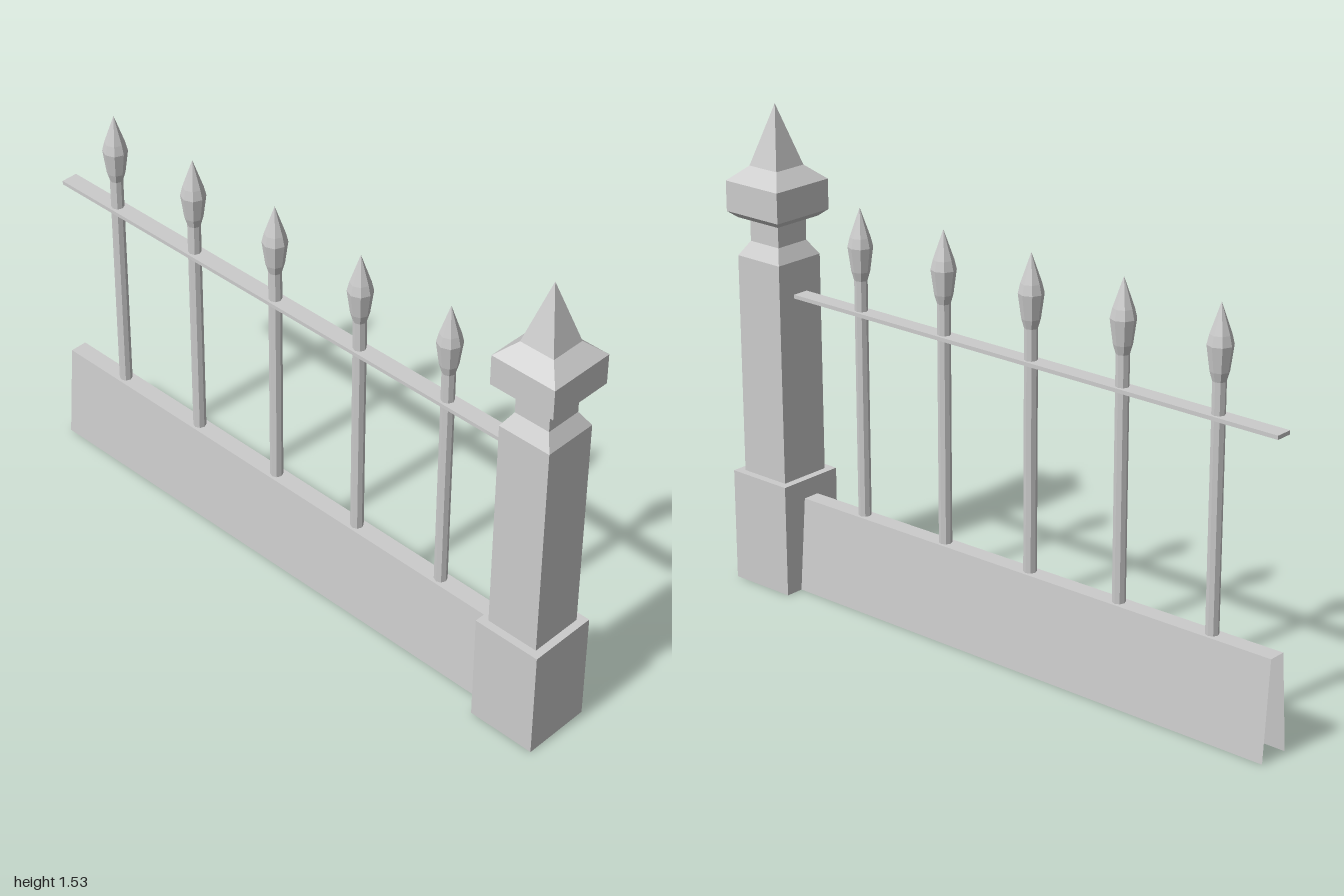
import * as THREE from 'three';

const material = new THREE.MeshStandardMaterial({ color: 0xcccccc, flatShading: true, side: THREE.DoubleSide });

function addMesh(parent, name, geometry) {
  const mesh = new THREE.Mesh(geometry, material);
  mesh.name = name;
  parent.add(mesh);
  return mesh;
}

// Square turned part: profile of [half width, height], bottom to top
function squareLathe(profile) {
  const points = profile.map(([h, y]) => new THREE.Vector2(h * Math.SQRT2, y));
  return new THREE.LatheGeometry(points, 4, Math.PI / 4);
}

function createPost() {
  const post = new THREE.Group();
  post.name = 'gatePost';
  // Hollow plinth, open underneath, with a ledge on top
  addMesh(post, 'postBase', squareLathe([[0.112, 0], [0.112, 0.36], [0.087, 0.36]]));
  // Shaft with chamfered shoulder and neck
  addMesh(post, 'postShaft', squareLathe([[0.087, 0.36], [0.087, 1.06], [0.059, 1.105], [0.059, 1.18]]));
  // Cap with pointed finial
  addMesh(post, 'postCap', squareLathe([
    [0.059, 1.18], [0.085, 1.18], [0.108, 1.2], [0.108, 1.295], [0.057, 1.34], [0, 1.53],
  ]));
  return post;
}

// Battered kerb wall: two leaning sides and a top, open below and at the ends
function createWall() {
  const section = (z, top) => [[-0.053, 0, z], [-0.028, top, z], [0.028, top, z], [0.053, 0, z]];
  const front = section(0.778, 0.3);
  const back = section(-1, 0.31);
  const positions = [];
  for (let i = 0; i < 3; i++) {
    const [a, b, c, d] = [front[i], front[i + 1], back[i + 1], back[i]];
    positions.push(...a, ...b, ...c, ...a, ...c, ...d);
  }
  const geometry = new THREE.BufferGeometry();
  geometry.setAttribute('position', new THREE.Float32BufferAttribute(positions, 3));
  geometry.computeVertexNormals();
  return geometry;
}

function createSpear() {
  const spear = new THREE.Group();
  spear.name = 'spear';
  const rod = addMesh(spear, 'spearRod', new THREE.CylinderGeometry(0.02, 0.02, 0.76, 8, 1, true));
  rod.position.y = 0.68;
  const head = [[0.02, 1.052], [0.028, 1.08], [0.038, 1.155], [0.031, 1.185], [0, 1.275]];
  addMesh(spear, 'spearHead', new THREE.LatheGeometry(head.map(([r, y]) => new THREE.Vector2(r, y)), 8));
  return spear;
}

export function createModel() {
  const model = new THREE.Group();
  model.name = 'fenceSection';

  const post = createPost();
  post.position.z = 0.888;
  model.add(post);

  addMesh(model, 'kerbWall', createWall());

  const rail = addMesh(model, 'rail', new THREE.BoxGeometry(0.054, 0.012, 1.795));
  rail.position.set(0, 0.951, -0.0975);

  // Evenly spaced spears
  for (let i = 0; i < 5; i++) {
    const spear = createSpear();
    spear.position.z = 0.545 - i * 0.331;
    model.add(spear);
  }
  return model;
}
